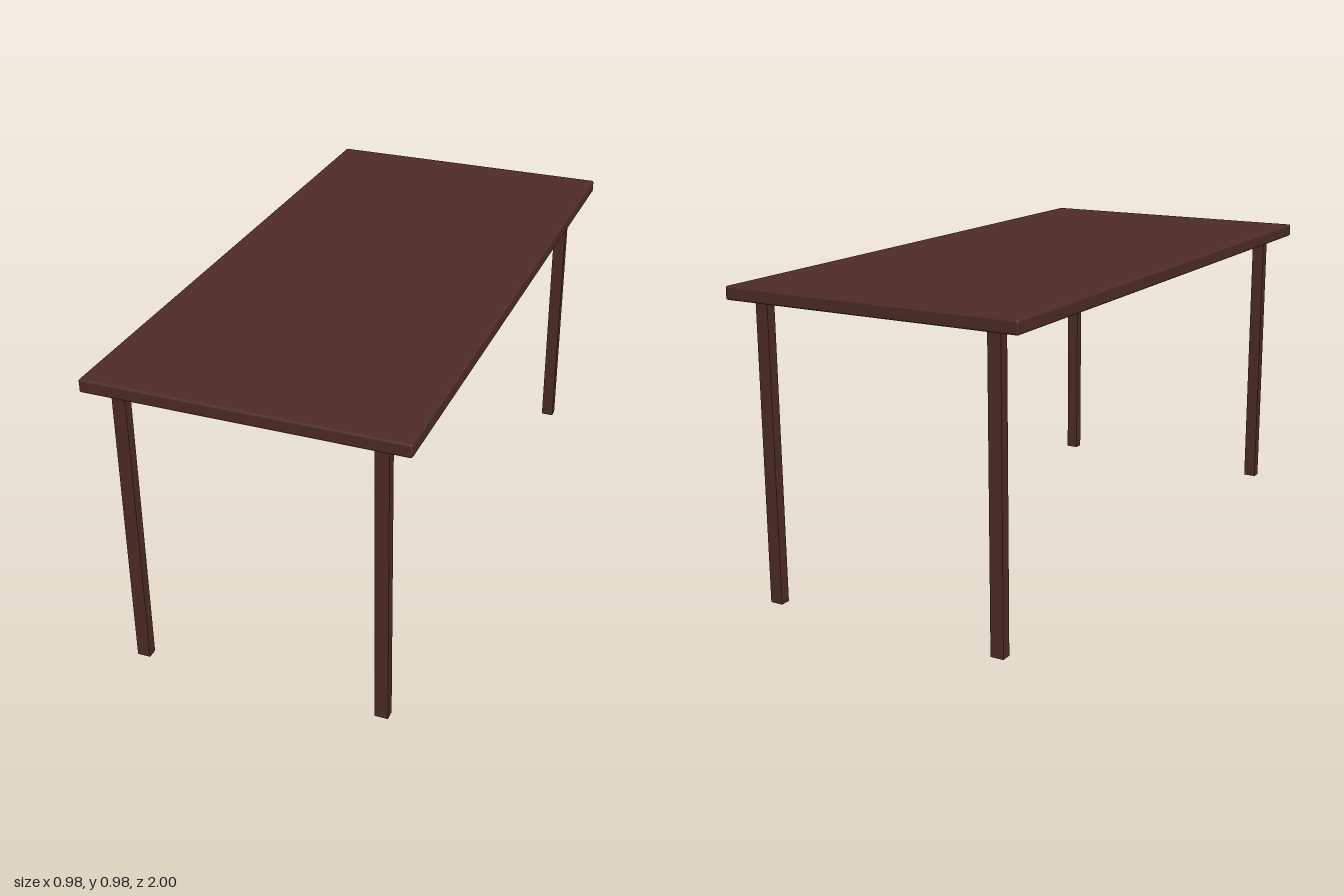
import * as THREE from 'three';
import { RoundedBoxGeometry } from 'three/addons/geometries/RoundedBoxGeometry.js';

export function createModel() {
  const group = new THREE.Group();
  group.name = 'table';
  const darkWood = new THREE.MeshStandardMaterial({ color: 0x4e2c24 });
  darkWood.name = 'darkWood';

  const height = 0.977, thickness = 0.042;
  const legHeight = height - thickness;

  // Tabletop slab with softened edges
  const top = new THREE.Mesh(new RoundedBoxGeometry(0.98, thickness, 2, 2, 0.007), darkWood);
  top.name = 'tabletop';
  top.position.y = height - thickness / 2;
  group.add(top);

  // Four straight rectangular legs, set in from the corners
  const legGeometry = new THREE.BoxGeometry(0.042, legHeight, 0.032);
  for (const [zName, z] of [['front', 1], ['back', -1]]) {
    for (const [xName, x] of [['Left', 1], ['Right', -1]]) {
      const leg = new THREE.Mesh(legGeometry, darkWood);
      leg.name = `${zName}${xName}Leg`;
      leg.position.set(x * 0.392, legHeight / 2, z * 0.943);
      group.add(leg);
    }
  }
  return group;
}
